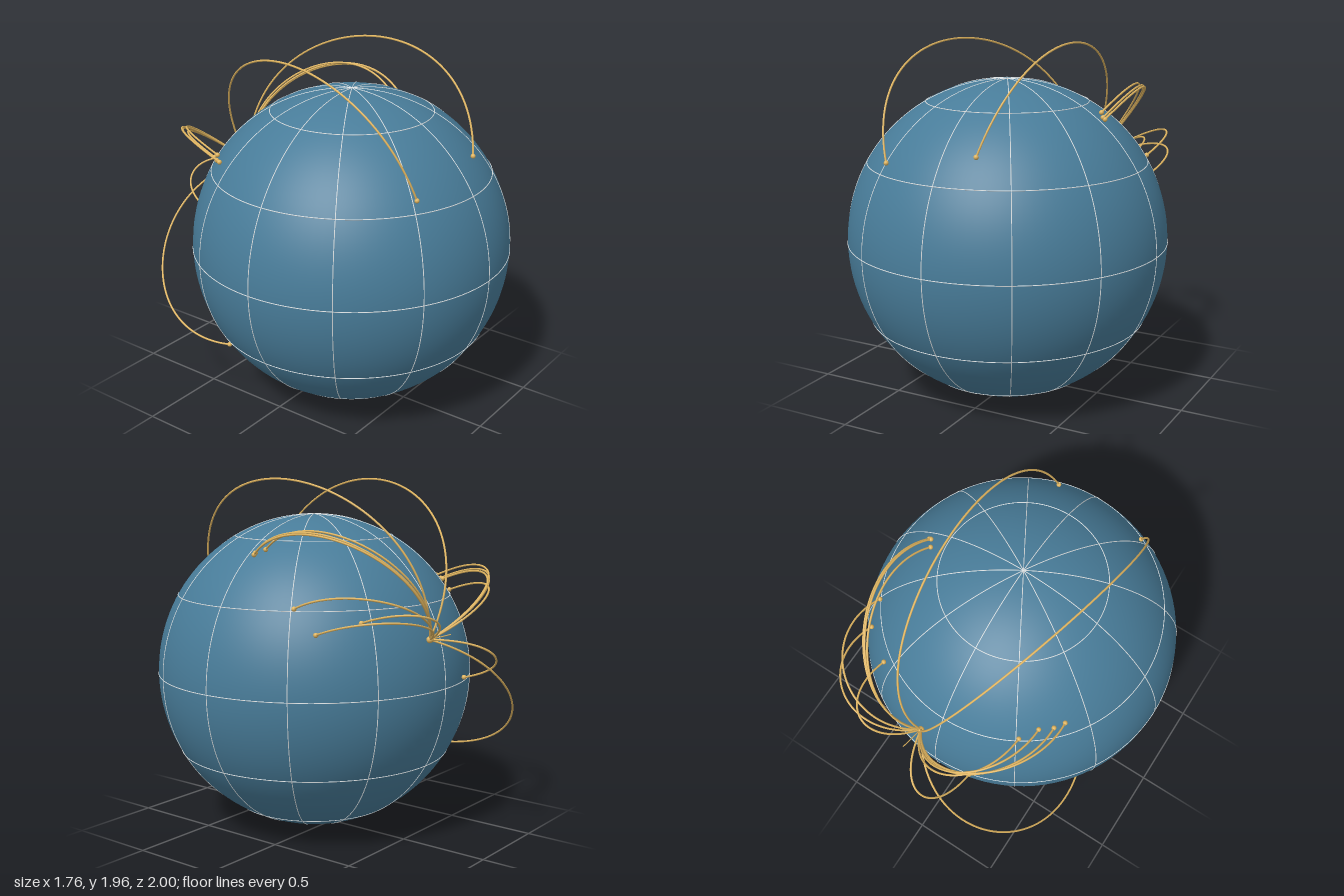
import * as THREE from 'three';

const R = 0.875;
const SURFACE = 0.885; // radius at which the arcs land
const APEX = 1.135; // radius at the top of every arc

export function createModel() {
  const model = new THREE.Group();
  model.name = 'globeWithArcs';

  const ocean = new THREE.MeshStandardMaterial({ color: 0x487c99 });
  ocean.name = 'ocean blue';
  const gridLine = new THREE.MeshStandardMaterial({ color: 0xe2e8ea });
  gridLine.name = 'grid white';
  const gold = new THREE.MeshStandardMaterial({ color: 0xe0b560 });
  gold.name = 'gold';

  const globe = new THREE.Group();
  globe.name = 'globe';
  globe.position.set(0, 0.88, 0.125);
  model.add(globe);

  const add = (name, geometry, material, parent = globe) => {
    const mesh = new THREE.Mesh(geometry, material);
    mesh.name = name;
    parent.add(mesh);
    return mesh;
  };

  add('sphere', new THREE.SphereGeometry(R, 96, 64), ocean);

  // Graticule: a circle every 30 degrees
  const graticule = new THREE.Group();
  graticule.name = 'graticule';
  globe.add(graticule);
  const ring = (name, radius) =>
    add(name, new THREE.TorusGeometry(radius, 0.0024, 6, 128), gridLine, graticule);
  for (let i = 0; i < 6; i++) ring('meridian', R + 0.0005).rotation.y = (i * Math.PI) / 6;
  for (let i = -2; i <= 2; i++) {
    const lat = (i * Math.PI) / 6;
    const parallel = ring('parallel', (R + 0.0005) * Math.cos(lat));
    parallel.rotation.x = Math.PI / 2;
    parallel.position.y = (R + 0.0005) * Math.sin(lat);
  }

  // Hub with a short pin standing on it
  const hub = new THREE.Vector3(0.1, 0.27, -0.84).normalize();
  add('hub', new THREE.SphereGeometry(0.018, 16, 12), gold).position.copy(hub).multiplyScalar(SURFACE);
  const pin = new THREE.LineCurve3(
    hub.clone().multiplyScalar(SURFACE), hub.clone().multiplyScalar(1.03));
  add('pin', new THREE.TubeGeometry(pin, 1, 0.003, 6), gold);

  // Arc end points, relative to the globe's centre
  const ends = [
    [-0.35, 0.5, 0.645], [0.18, 0.58, 0.645],
    [0.51, 0.717, -0.09], [0.54, 0.7, -0.045], [0.55, 0.69, -0.045],
    [0.65, 0.45, -0.395], [0.635, 0.33, -0.52], [0.45, 0.38, -0.66],
    [-0.39, 0.464, -0.645], [-0.455, 0.512, -0.56], [-0.515, 0.508, -0.51], [-0.55, 0.519, -0.46],
    [-0.21, 0.025, -0.86], [-0.645, -0.495, -0.355],
  ];

  // Direction part of the way along the great circle from the hub
  const along = (end, t) => {
    const axis = new THREE.Vector3().crossVectors(hub, end).normalize();
    return hub.clone().applyAxisAngle(axis, hub.angleTo(end) * t);
  };

  for (const p of ends) {
    const end = new THREE.Vector3(...p).normalize();
    const angle = hub.angleTo(end);
    // Control height that brings the middle of the curve to the apex
    const h = (APEX - (SURFACE * Math.cos(angle / 2)) / 4) / (0.75 * Math.cos(angle / 4));
    const curve = new THREE.CubicBezierCurve3(
      hub.clone().multiplyScalar(SURFACE),
      along(end, 0.25).multiplyScalar(h),
      along(end, 0.75).multiplyScalar(h),
      end.clone().multiplyScalar(SURFACE));
    add('arc', new THREE.TubeGeometry(curve, 64, 0.0055, 8), gold);
    add('endPoint', new THREE.SphereGeometry(0.013, 14, 10), gold).position.copy(curve.v3);
  }

  return model;
}
